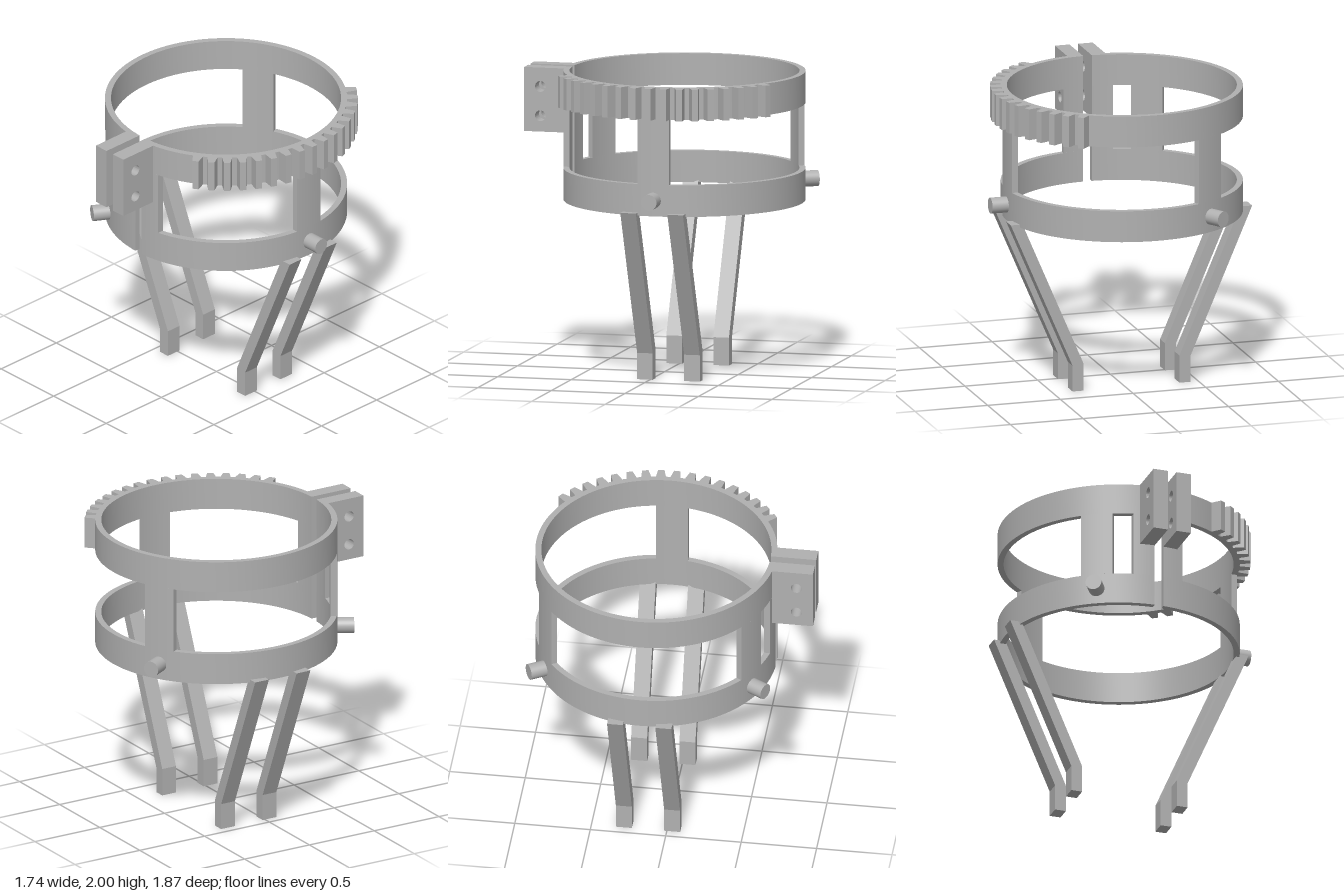
import * as THREE from 'three';
import { toCreasedNormals } from 'three/addons/utils/BufferGeometryUtils.js';

const INNER = 0.755, OUTER = 0.795;
const THIRD = Math.PI * 2 / 3, FRONT = Math.PI / 2;
const gray = new THREE.MeshStandardMaterial({ color: 0xb0b0b0 });
gray.name = 'plain gray';

function add(parent, name, geometry) {
  const mesh = new THREE.Mesh(geometry, gray);
  mesh.name = name;
  parent.add(mesh);
  return mesh;
}

// Extrudes a plan outline (x, z) between two heights
function slab(shape, y0, y1) {
  const g = new THREE.ExtrudeGeometry(shape, { depth: y1 - y0, bevelEnabled: false, curveSegments: 120 });
  g.rotateX(Math.PI / 2).translate(0, y1, 0);
  return toCreasedNormals(g, 0.4);
}

// Curved wall piece; start and end angles may depend on radius so cut edges stay parallel
function wall(start, end, y0, y1) {
  const s = new THREE.Shape();
  s.absarc(0, 0, OUTER, start(OUTER), end(OUTER), false);
  s.absarc(0, 0, INNER, end(INNER), start(INNER), true);
  s.closePath();
  return slab(s, y0, y1);
}
const edge = (angle, offset) => r => angle + Math.asin(offset / r);

export function createModel() {
  const model = new THREE.Group();
  model.name = 'clampRingStand';
  model.position.set(-0.04, 0, -0.125);
  const root = new THREE.Group();
  root.name = 'root';
  root.add(model);

  // Two split rings
  const gapStart = edge(FRONT, 0.03), gapEnd = edge(FRONT + Math.PI * 2, -0.03);
  add(model, 'lowerRing', wall(gapStart, gapEnd, 1.145, 1.355));
  add(model, 'upperRing', wall(gapStart, gapEnd, 1.79, 2));

  // Posts between the rings, with a radial peg below each
  for (let i = 0; i < 3; i++) {
    const a = i * THIRD;
    add(model, 'post', wall(edge(a, -0.106), edge(a, 0.106), 1.355, 1.79));
    const peg = new THREE.CylinderGeometry(0.053, 0.053, 0.135, 32);
    peg.rotateZ(-Math.PI / 2).translate(0.8375, 1.25, 0).rotateY(-a);
    add(model, 'peg', peg);
  }

  // Half posts on both sides of the split
  add(model, 'splitPost', wall(edge(FRONT, 0.03), edge(FRONT, 0.17), 1.355, 1.79));
  add(model, 'splitPost', wall(edge(FRONT, -0.17), edge(FRONT, -0.03), 1.355, 1.79));

  // Clamp ears with two bolt holes
  const ear = new THREE.Shape();
  ear.moveTo(0.755, 1.575).lineTo(1.055, 1.575).lineTo(1.055, 2).lineTo(0.755, 2).closePath();
  for (const y of [1.68, 1.875]) {
    const hole = new THREE.Path();
    hole.absarc(0.945, y, 0.036, 0, Math.PI * 2, true);
    ear.holes.push(hole);
  }
  for (const right of [-0.03, 0.13]) {
    const g = new THREE.ExtrudeGeometry(ear, { depth: 0.1, bevelEnabled: false, curveSegments: 24 });
    g.rotateY(-Math.PI / 2).translate(right, 0, 0);
    add(model, 'clampEar', toCreasedNormals(g, 0.5));
  }

  // Gear teeth along the side of the upper ring
  const tooth = new THREE.Shape();
  tooth.moveTo(0.785, -0.035).lineTo(0.865, -0.021).lineTo(0.865, 0.021).lineTo(0.785, 0.035).closePath();
  const toothGeometry = slab(tooth, 1.79, 2);
  for (let i = 0; i < 17; i++) {
    const mesh = add(model, 'gearTooth', toothGeometry);
    mesh.rotation.y = -THREE.MathUtils.degToRad(-54.5 + 6.97 * i);
  }

  // Four bent legs
  const outline = [[0.33, 0], [0.405, 0], [0.405, 0.175], [0.83, 1.165], [0.75, 1.165], [0.33, 0.185]];
  for (const side of [1, -1]) {
    const points = outline.map(([x, y]) => new THREE.Vector2(x * side, y));
    for (const z of [-0.16, 0.16]) {
      const g = new THREE.ExtrudeGeometry(new THREE.Shape(points), { depth: 0.106, bevelEnabled: false });
      g.translate(0, 0, z - 0.053);
      add(model, 'leg', g);
    }
  }
  return root;
}
